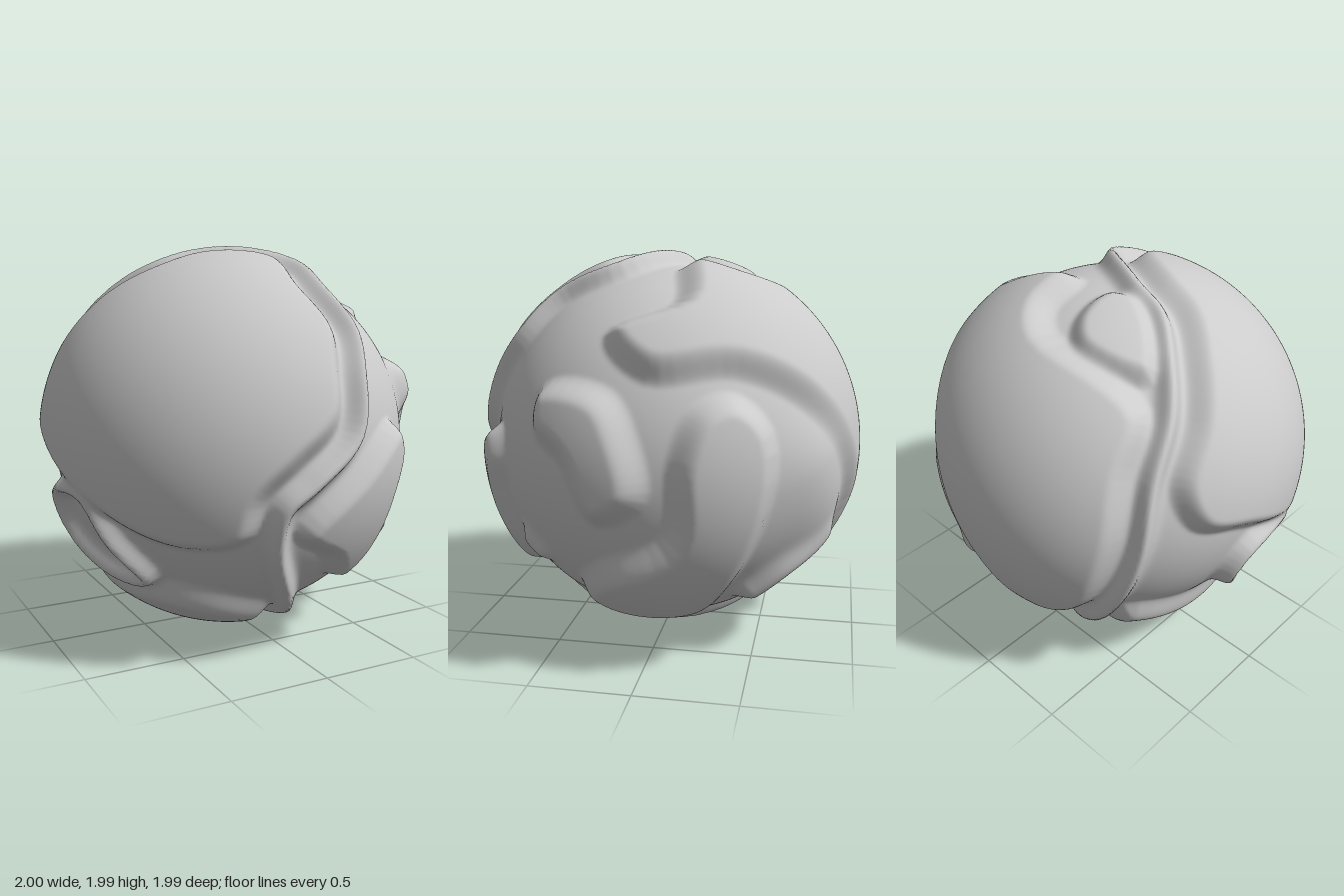
import * as THREE from 'three';
import { mergeVertices } from 'three/addons/utils/BufferGeometryUtils.js';

const LOW = 0.915; // valley radius; plateaus rise to 1

// Points on the unit sphere from [longitude, latitude] in degrees; 0, 0 is the front
const onBall = (list) => list.map(([lon, lat]) => new THREE.Vector3().setFromSphericalCoords(
  1, THREE.MathUtils.degToRad(90 - lat), THREE.MathUtils.degToRad(lon)));

// Smooth path over the sphere
function path(points, closed) {
  const curve = new THREE.CatmullRomCurve3(points, closed, 'centripetal');
  return curve.getPoints(points.length * 6).map((p) => p.normalize());
}

function distanceTo(line, p) {
  let best = 9;
  for (let i = 0; i < line.length - 1; i++) {
    const a = line[i], b = line[i + 1];
    const ex = b.x - a.x, ey = b.y - a.y, ez = b.z - a.z;
    const dx = p.x - a.x, dy = p.y - a.y, dz = p.z - a.z;
    const len = ex * ex + ey * ey + ez * ez || 1e-9;
    const t = Math.min(1, Math.max(0, (dx * ex + dy * ey + dz * ez) / len));
    best = Math.min(best, (dx - t * ex) ** 2 + (dy - t * ey) ** 2 + (dz - t * ez) ** 2);
  }
  return Math.sqrt(best);
}

// Raised plate: full height inside the outline, falling off over the soft edge
function plateau(points, soft, height) {
  const line = path(points, true);
  const centre = points.reduce((s, p) => s.add(p), new THREE.Vector3()).normalize();
  const turn = new THREE.Quaternion().setFromUnitVectors(centre, new THREE.Vector3(0, 0, 1));
  const q = new THREE.Vector3();
  const flat = (p) => {
    q.copy(p).applyQuaternion(turn);
    const k = 1 / (1.0001 + q.z);
    return [q.x * k, q.y * k];
  };
  const poly = line.map(flat);
  return (p) => {
    const [x, y] = flat(p);
    let inside = false;
    for (let i = 0, j = poly.length - 1; i < poly.length; j = i++) {
      const [xi, yi] = poly[i], [xj, yj] = poly[j];
      if (yi > y !== yj > y && x < ((xj - xi) * (y - yi)) / (yj - yi) + xi) inside = !inside;
    }
    const d = distanceTo(line, p) * (inside ? 1 : -1);
    return height * THREE.MathUtils.smoothstep(d, -soft * 0.8, soft * 1.2);
  };
}

// Rounded ridge following a path
function ridge(points, width, height, closed) {
  const line = path(points, closed);
  return (p) => height * Math.exp(-((distanceTo(line, p) / width) ** 2));
}

// Winding seam that closes around the whole ball
const seam = onBall([
  [47, 71], [24, 53], [23, 37], [17, 24], [11, 7], [-3, -5], [-11, -12], [-12, -24], [-2, -46],
  [17, -65], [122, -82], [191, -63], [219, -32], [230, 0], [234, 22], [242, 39], [248, 54],
  [257, 68], [261, 82],
]);

// Points running beside a stretch of the seam, shifted to one side of it
function besideSeam(from, to, shift) {
  const n = seam.length;
  const points = [];
  for (let i = from; i <= to; i++) {
    const p = seam[i % n];
    const along = seam[(i + 1) % n].clone().sub(seam[(i + n - 1) % n]);
    const side = p.clone().cross(along).normalize();
    points.push(p.clone().addScaledVector(side, shift).normalize());
  }
  return points;
}

function reliefs() {
  const seamRidge = ridge(seam, 0.05, 0.95, true);

  const frontRight = onBall([[-22, -21], [-41, -24], [-74, -12], [-96, -1], [-113, 6]]);
  const frontRightPlateau = plateau([...besideSeam(14, 25, -0.13), ...frontRight], 0.07, 1);

  // back plateau, with a tongue reaching over the left side
  const back = onBall([
    [183, 60], [162, 67], [129, 78], [105, 54], [77, 42], [93, 30], [122, 31], [146, 19],
    [174, -17], [184, -41],
  ]);
  const backPlateau = plateau([...besideSeam(12, 15, 0.12), ...back], 0.08, 1);
  const backSwell = ridge(onBall([[150, 0], [160, -22]]), 0.28, 0.6, false);

  const under = onBall([[-90, -43], [-56, -43], [-30, -49], [-3, -60]]);
  const underPlateau = plateau([...besideSeam(9, 12, -0.13), ...under], 0.085, 0.95);

  const leftPlateau = plateau(onBall([
    [119, 22], [129, 12], [123, -33], [114, -50], [72, -51], [64, -41], [77, -30], [100, -17],
    [102, 6], [108, 19],
  ]), 0.08, 1);
  const leftFrontPlateau = plateau(onBall([
    [57, 23], [80, 23], [88, 12], [91, -5], [78, -12], [68, 5], [57, 12],
  ]), 0.085, 1);
  const frontPlateau = plateau(onBall([
    [32, 8], [36, 0], [33, -12], [29, -36], [21, -42], [9, -30], [-5, -20], [12, -4],
  ]), 0.06, 0.95);
  const topTongue = plateau(onBall([
    [238, 50], [205, 58], [194, 67], [210, 80], [250, 75],
  ]), 0.06, 0.85);

  // crumpled loop low on the right side
  const crumple = ridge(onBall([
    [-74, -11], [-92, -13], [-96, -25], [-75, -39], [-58, -38], [-67, -24],
  ]), 0.05, 0.95, true);
  const lowBackRidge = ridge(onBall([[136, -43], [146, -34], [162, -25]]), 0.08, 0.85, false);
  const frontBump = ridge(onBall([[47, -30], [43, -27]]), 0.07, 0.55, false);

  return [
    seamRidge, frontRightPlateau, backPlateau, backSwell, underPlateau, leftPlateau,
    leftFrontPlateau, frontPlateau, topTongue, crumple, lowBackRidge, frontBump,
  ];
}

export function createModel() {
  let geometry = new THREE.IcosahedronGeometry(1, 76);
  geometry.deleteAttribute('normal');
  geometry.deleteAttribute('uv');
  geometry = mergeVertices(geometry, 1e-5);

  // push each vertex out by the smooth union of all reliefs
  const parts = reliefs();
  const position = geometry.attributes.position;
  const p = new THREE.Vector3();
  for (let i = 0; i < position.count; i++) {
    p.fromBufferAttribute(position, i).normalize();
    let gap = 1;
    for (const part of parts) gap *= 1 - part(p);
    p.multiplyScalar(1 - (1 - LOW) * gap);
    position.setXYZ(i, p.x, p.y + 1, p.z);
  }
  geometry.computeVertexNormals();

  const ball = new THREE.Mesh(geometry, new THREE.MeshStandardMaterial({ color: 0xcccccc }));
  ball.name = 'sculptedBall';
  const model = new THREE.Group();
  model.name = 'reliefBall';
  model.add(ball);
  return model;
}
